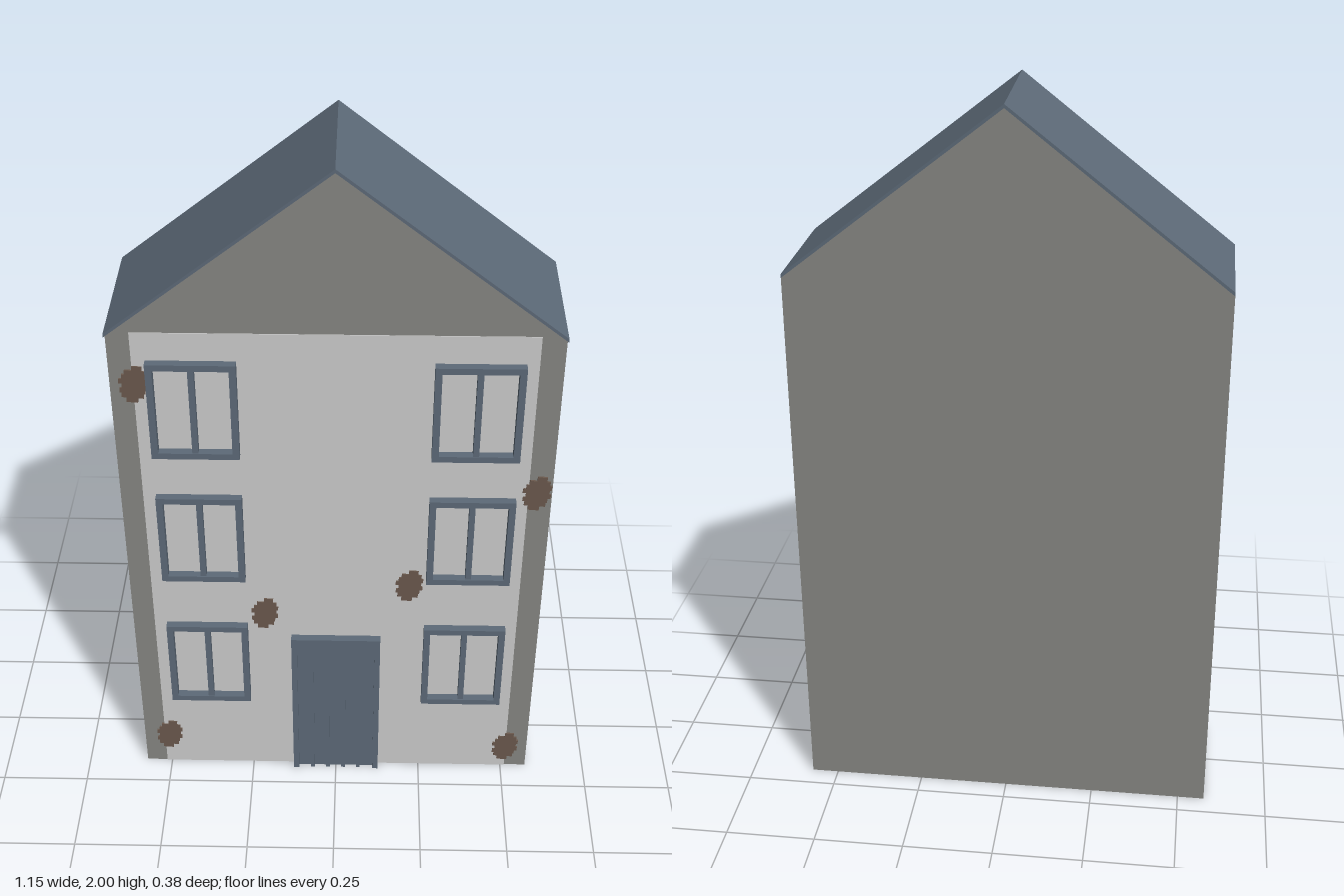
import * as THREE from 'three';

const mat = (name, color) => {
  const m = new THREE.MeshStandardMaterial({ color });
  m.name = name;
  return m;
};

export function createModel() {
  const house = new THREE.Group();
  house.name = 'house';
  const stone = mat('stone grey', 0x868682);
  const plaster = mat('pale plaster', 0xcdcdcd);
  const slate = mat('slate blue', 0x5d6a78);
  const brick = mat('exposed brick', 0x6b594d);

  const BACK = -0.19, WALL = 0.165, FRONT = 0.19;
  const HALF = 0.575, EAVE = 1.538, APEX = 1.99;

  const add = (parent, name, geo, material) => {
    const m = new THREE.Mesh(geo, material);
    m.name = name;
    parent.add(m);
    return m;
  };
  // Box given by its min and max corners
  const box = (parent, name, material, x0, x1, y0, y1, z0, z1) => {
    const g = new THREE.BoxGeometry(x1 - x0, y1 - y0, z1 - z0);
    add(parent, name, g, material)
      .position.set((x0 + x1) / 2, (y0 + y1) / 2, (z0 + z1) / 2);
  };
  // Flat outline extruded along z
  const prism = (parent, name, material, points, z0, z1) => {
    const shape = new THREE.Shape(points.map(([x, y]) => new THREE.Vector2(x, y)));
    const g = new THREE.ExtrudeGeometry(shape, { depth: z1 - z0, bevelEnabled: false });
    const m = add(parent, name, g, material);
    m.position.z = z0;
    return m;
  };

  // Walls with gable, thin roof with front overhang, plaster facing
  prism(house, 'walls', stone,
    [[-HALF, 0], [HALF, 0], [HALF, EAVE], [0, APEX], [-HALF, EAVE]], BACK, WALL);
  prism(house, 'roof', slate,
    [[-HALF, EAVE], [0, APEX], [HALF, EAVE], [HALF, EAVE + 0.01], [0, 2], [-HALF, EAVE + 0.01]],
    BACK - 0.001, FRONT);
  box(house, 'plasterFacing', plaster, -0.515, 0.512, 0, EAVE, WALL - 0.002, WALL + 0.002);

  // Windows: open frame with a central mullion
  const bar = 0.018;
  for (const side of [-1, 1]) {
    for (const [y0, y1] of [[0.28, 0.572], [0.743, 1.032], [1.165, 1.457]]) {
      const win = new THREE.Group();
      win.name = 'window';
      const w = 0.115, x = side * 0.365;
      const frame = new THREE.Shape();
      frame.moveTo(-w, y0).lineTo(w, y0).lineTo(w, y1).lineTo(-w, y1).closePath();
      const hole = new THREE.Path();
      hole.moveTo(-w + bar, y0 + bar).lineTo(-w + bar, y1 - bar)
        .lineTo(w - bar, y1 - bar).lineTo(w - bar, y0 + bar).closePath();
      frame.holes.push(hole);
      const g = new THREE.ExtrudeGeometry(frame, { depth: FRONT - WALL, bevelEnabled: false });
      add(win, 'windowFrame', g, slate).position.z = WALL;
      box(win, 'mullion', slate, -0.008, 0.008, y0 + bar, y1 - bar, WALL, FRONT - 0.003);
      win.position.x = x;
      house.add(win);
    }
  }

  // Door: recessed panel, frame and vertical battens
  const door = new THREE.Group();
  door.name = 'door';
  house.add(door);
  box(door, 'doorPanel', slate, -0.112, 0.112, 0, 0.512, WALL, WALL + 0.012);
  box(door, 'lintel', slate, -0.127, 0.127, 0.511, 0.527, WALL, FRONT);
  for (const s of [-1, 1])
    box(door, 'doorPost', slate, s * 0.119 - 0.008, s * 0.119 + 0.008, 0, 0.511, WALL, FRONT);
  for (const x of [-0.07, -0.024, 0.022, 0.067])
    box(door, 'batten', slate, x - 0.006, x + 0.006, 0, 0.511, WALL, FRONT - 0.004);

  // Ragged brick patches: stepped courses of uneven width
  const rows = [[-0.018, 0.012], [-0.03, 0.027], [-0.036, 0.03], [-0.03, 0.037],
    [-0.039, 0.032], [-0.032, 0.036], [-0.025, 0.03], [-0.006, 0.02]];
  const step = 0.11 / rows.length;
  const outline = [];
  rows.forEach(([, r], i) => outline.push([r, i * step - 0.055], [r, (i + 1) * step - 0.055]));
  [...rows].reverse().forEach(([l], k) => {
    const i = rows.length - 1 - k;
    outline.push([l, (i + 1) * step - 0.055], [l, i * step - 0.055]);
  });
  for (const [x, y] of [[-0.513, 1.385], [0.535, 1.05], [0.205, 0.72],
    [-0.2, 0.61], [-0.5, 0.115], [0.51, 0.083]]) {
    const p = prism(house, 'brickPatch', brick, outline, WALL - 0.001, WALL + 0.005);
    p.position.x = x;
    p.position.y = y;
    p.rotation.z = -0.08;
  }
  return house;
}
